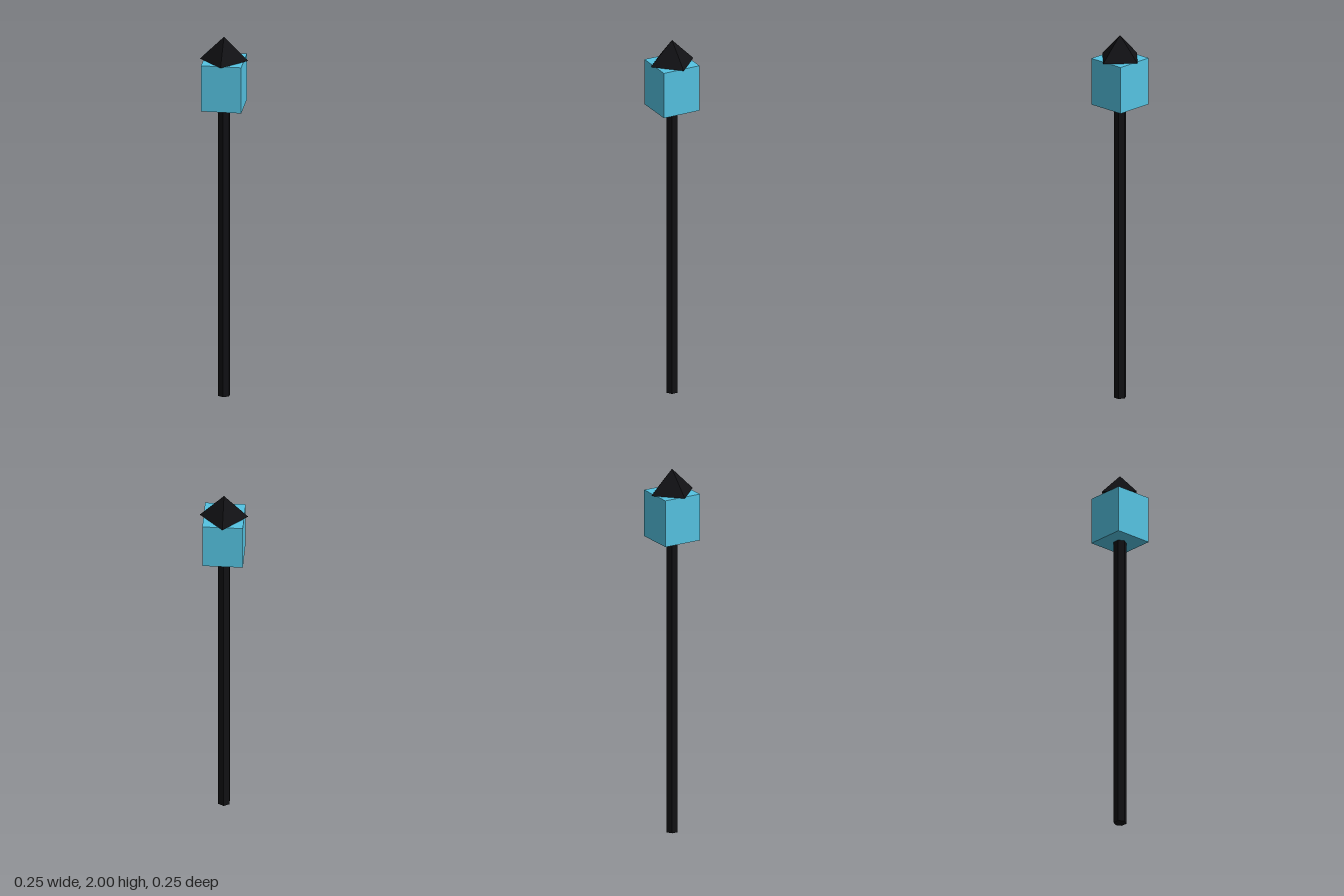
import * as THREE from 'three';

export function createModel() {
  const model = new THREE.Group();
  const iron = new THREE.MeshStandardMaterial({ color: 0x111114, flatShading: true });
  const glass = new THREE.MeshStandardMaterial({ color: 0x55c3e2, flatShading: true });

  const poleTop = 1.617, lampTop = 1.872, top = 2;

  // Adds a part standing between two heights
  const add = (name, geometry, material, y0, y1) => {
    const mesh = new THREE.Mesh(geometry, material);
    mesh.name = name;
    mesh.position.y = (y0 + y1) / 2;
    model.add(mesh);
  };

  // Six-sided post
  add('pole', new THREE.CylinderGeometry(0.034, 0.034, poleTop, 6), iron, 0, poleTop);

  // Square lamp housing
  const width = 0.212;
  add('lampBox', new THREE.BoxGeometry(width, lampTop - poleTop, width), glass, poleTop, lampTop);

  // Four-sided roof, its corners pointing along the axes
  add('roof', new THREE.ConeGeometry(0.127, top - lampTop, 4), iron, lampTop, top);

  return model;
}
